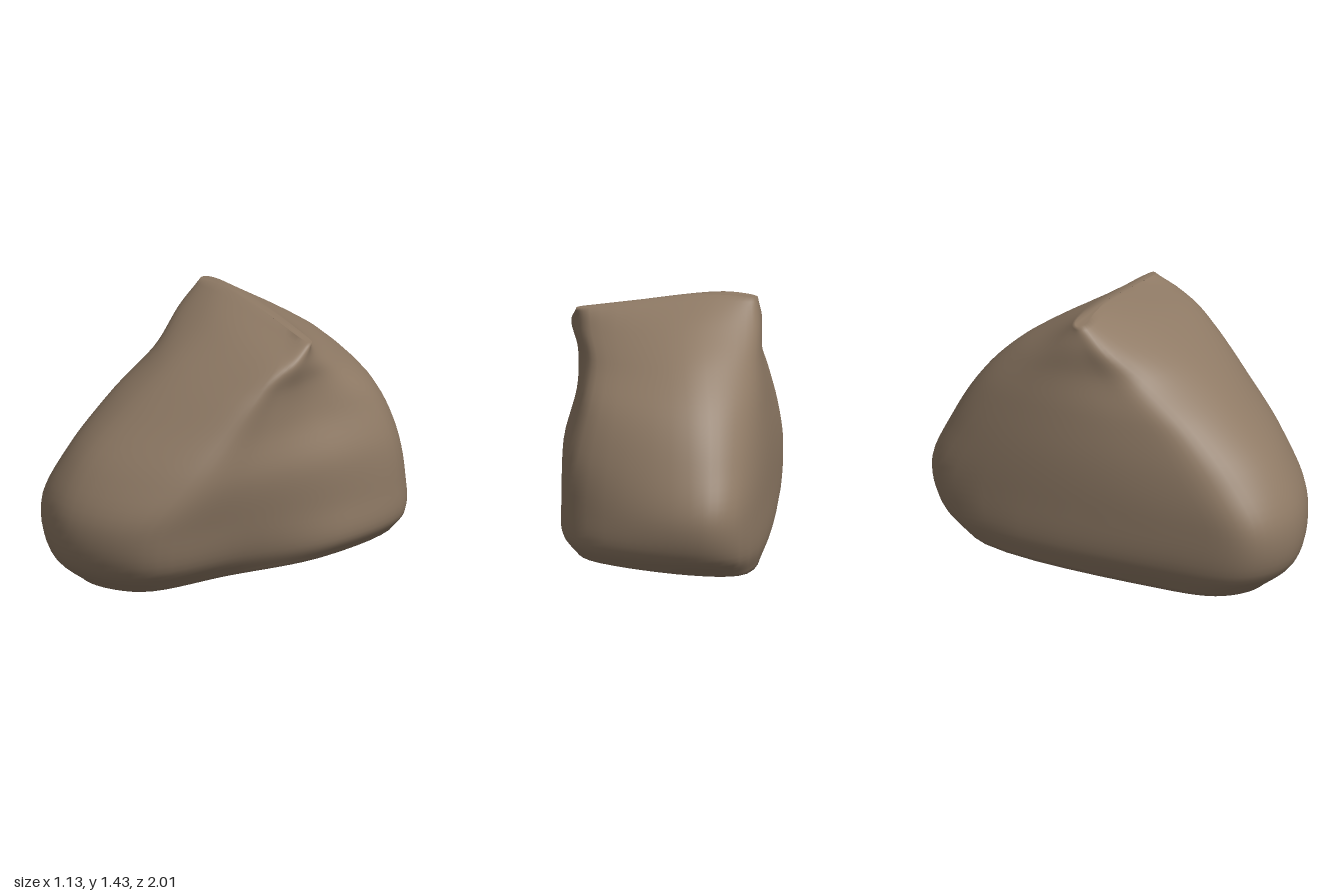
import * as THREE from 'three';

// Heights of the horizontal slices
const heights = [0.05, 0.2, 0.45, 0.7, 0.95, 1.15, 1.31, 1.435];
// Each slice as x, z pairs:
// left, front-left, front, front-right, right flank, right, back-right, back, back-left
const slices = [
  [-.45, .3, -.43, .66, -.25, .8, .05, .7, .25, .3, .46, -.15, .42, -.66, -.06, -.83, -.34, -.7],
  [-.53, .4, -.5, .82, -.23, .97, .18, .8, .35, .3, .545, -.2, .48, -.68, -.1, -.95, -.345, -.83],
  [-.555, .5, -.52, .87, -.2, 1, .24, .82, .41, .33, .55, -.2, .5, -.65, -.13, -1, -.345, -.88],
  [-.535, .35, -.49, .72, -.2, .88, .34, .66, .47, .28, .55, -.2, .48, -.62, -.13, -.9, -.37, -.75],
  [-.49, .2, -.44, .48, -.15, .64, .4, .46, .465, .2, .475, -.1, .42, -.53, -.12, -.75, -.39, -.57],
  [-.45, 0, -.4, .22, -.1, .4, .44, .3, .475, .14, .465, -.05, .38, -.33, -.1, -.56, -.4, -.39],
  [-.45, -.08, -.43, .04, -.1, .16, .45, .15, .505, .09, .5, 0, .41, -.15, -.1, -.34, -.41, -.24],
  [-.43, -.12, -.41, -.09, -.25, -.08, .3, -.05, .47, -.04, .485, -.06, .42, -.08, -.2, -.13, -.4, -.14],
];

// Tilts the underside up to the back right and the crest down towards its ends
function tiltedHeight(x, y, z) {
  const base = Math.max(0, 0.075 * (0.35 - z) + 0.11 * (x + 0.27));
  const crest = 0.12 * Math.max(0, x + 0.25) + 0.15 * Math.max(0, -0.3 - x);
  return y + base * Math.max(0, 1 - y / 0.35) - crest * Math.pow(y / 1.43, 4);
}

function boulderGeometry(rows = 40, around = 60) {
  // Vertical guide curves through matching slice points
  const guides = [];
  for (let k = 0; k < slices[0].length / 2; k++) {
    guides.push(new THREE.CatmullRomCurve3(slices.map((s, i) => {
      const x = s[2 * k], z = s[2 * k + 1];
      return new THREE.Vector3(x, tiltedHeight(x, heights[i], z), z);
    })));
  }
  const positions = [], index = [];
  for (let i = 0; i <= rows; i++) {
    const loop = new THREE.CatmullRomCurve3(guides.map((g) => g.getPoint(i / rows)), true, 'centripetal');
    for (let j = 0; j < around; j++) {
      const p = loop.getPoint(j / around);
      positions.push(p.x, p.y, p.z);
      if (i < rows) {
        const a = i * around + j, b = i * around + (j + 1) % around;
        index.push(a, b, b + around, a, b + around, a + around);
      }
    }
  }
  // Underside and crest caps, each closed on one point
  positions.push(-0.25, 0, 0.32, -0.1, 1.425, -0.09);
  const low = (rows + 1) * around, high = low + 1, last = rows * around;
  for (let j = 0; j < around; j++) {
    const n = (j + 1) % around;
    index.push(n, j, low, last + j, last + n, high);
  }
  const geometry = new THREE.BufferGeometry();
  geometry.setAttribute('position', new THREE.Float32BufferAttribute(positions, 3));
  geometry.setIndex(index);
  geometry.computeVertexNormals();
  return geometry;
}

export function createModel() {
  const stone = new THREE.MeshStandardMaterial({ color: 0x8f7a65 });
  stone.name = 'brown stone';
  const boulder = new THREE.Mesh(boulderGeometry(), stone);
  boulder.name = 'boulder';
  const group = new THREE.Group();
  group.name = 'rock';
  group.add(boulder);
  return group;
}
